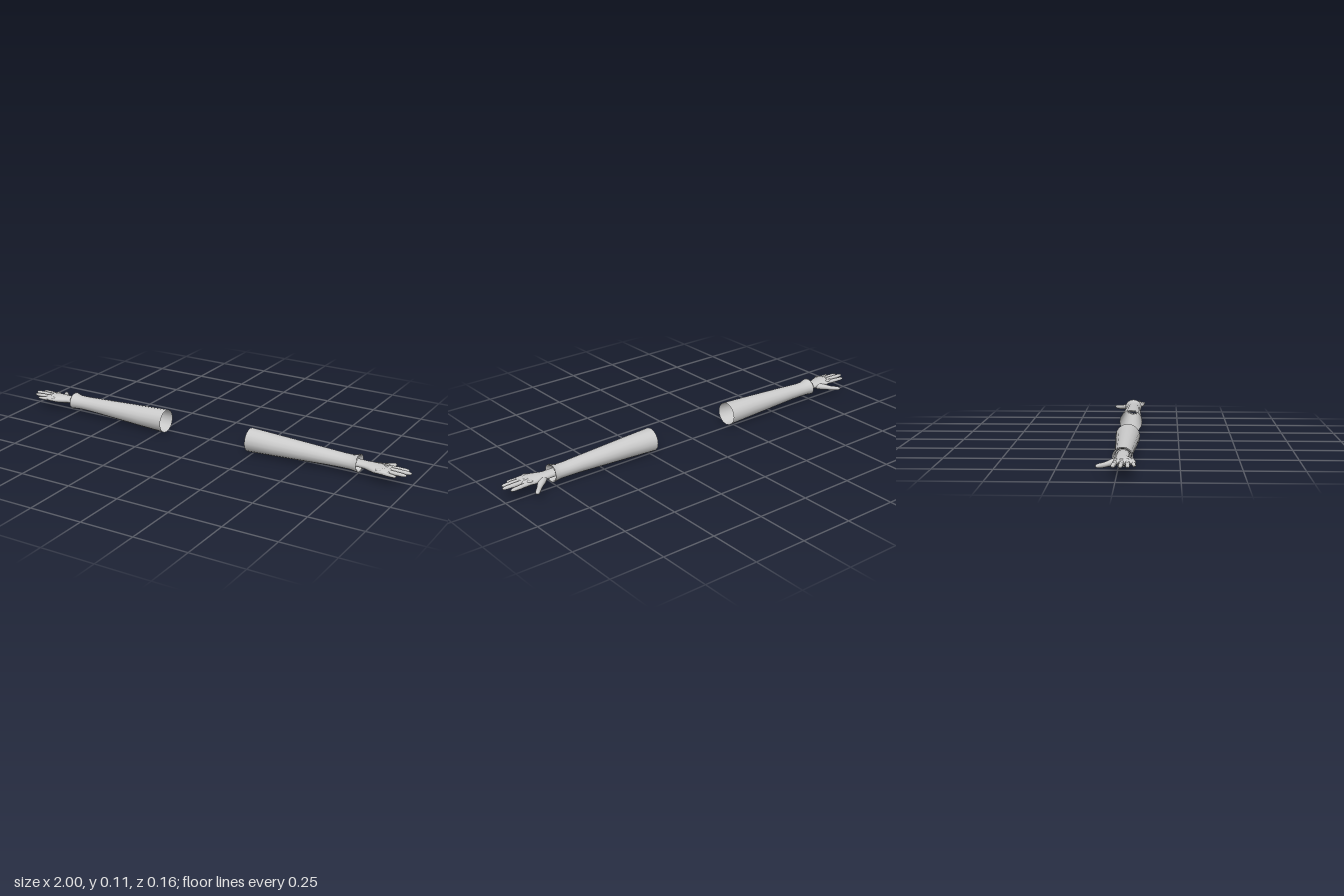
import * as THREE from 'three';

const grey = new THREE.MeshStandardMaterial({ color: 0xcccccc });
const cloth = new THREE.MeshStandardMaterial({ color: 0xcccccc, side: THREE.DoubleSide });

// Skin elliptical rings [x, y, z, half height, half width] along a path.
// sign = -1 mirrors the part in x.
function loft(name, rings, sign, segments = 12, material = grey) {
  const centres = rings.map(r => new THREE.Vector3(r[0], r[1], r[2]));
  const pos = [], index = [];
  rings.forEach((r, i) => {
    const dir = centres[Math.min(i + 1, rings.length - 1)].clone()
      .sub(centres[Math.max(i - 1, 0)]).normalize();
    const across = dir.clone().cross(new THREE.Vector3(0, 1, 0)).normalize();
    const up = across.clone().cross(dir);
    for (let j = 0; j < segments; j++) {
      const a = (j / segments) * Math.PI * 2;
      const p = centres[i].clone()
        .addScaledVector(up, r[3] * Math.sin(a))
        .addScaledVector(across, r[4] * Math.cos(a));
      pos.push(p.x * sign, p.y, p.z);
      if (i === rings.length - 1) continue;
      const k = (j + 1) % segments;
      const A = i * segments + j, B = A + segments;
      const C = i * segments + k, D = C + segments;
      if (sign > 0) index.push(A, B, C, C, B, D);
      else index.push(A, C, B, C, D, B);
    }
  });
  const g = new THREE.BufferGeometry();
  g.setAttribute('position', new THREE.Float32BufferAttribute(pos, 3));
  g.setIndex(index);
  g.computeVertexNormals();
  const mesh = new THREE.Mesh(g, material);
  mesh.name = name;
  return mesh;
}

// Finger rings: slight swelling at the joints and a rounded tip
const fingerProfile = [
  [0, 1], [0.2, 1.0], [0.42, 0.93], [0.52, 0.98], [0.62, 0.88],
  [0.78, 0.85], [0.9, 0.72], [0.97, 0.45], [1, 0.02],
];
function finger(name, base, tip, radius, sign) {
  const rings = fingerProfile.map(([t, k]) => [
    ...base.map((b, i) => b + (tip[i] - b) * t), radius * k, radius * k * 1.05,
  ]);
  return loft(name, rings, sign, 10);
}

function createArm(sign) {
  const arm = new THREE.Group();
  arm.name = sign > 0 ? 'leftArm' : 'rightArm';

  // Open sleeve, widest at the shoulder, with a flared cuff
  arm.add(loft('sleeve', [
    [0.225, 0.055, 0.023, 0.055, 0.055],
    [0.36, 0.055, 0.023, 0.049, 0.049],
    [0.5, 0.055, 0.022, 0.042, 0.043],
    [0.62, 0.055, 0.021, 0.036, 0.038],
    [0.69, 0.054, 0.02, 0.033, 0.036],
    [0.73, 0.054, 0.02, 0.033, 0.037],
    [0.75, 0.055, 0.02, 0.037, 0.041],
    [0.762, 0.056, 0.02, 0.04, 0.043],
  ], sign, 16, cloth));

  // Cuff edge folded back inside the sleeve
  arm.add(loft('cuffLining', [
    [0.762, 0.056, 0.02, 0.04, 0.043],
    [0.76, 0.056, 0.02, 0.034, 0.037],
    [0.735, 0.055, 0.02, 0.029, 0.033],
    [0.69, 0.054, 0.02, 0.028, 0.031],
  ], sign, 16, cloth));

  // Wrist widening into the palm
  arm.add(loft('wristAndPalm', [
    [0.69, 0.057, 0.02, 0.001, 0.001],
    [0.691, 0.057, 0.02, 0.017, 0.027],
    [0.765, 0.057, 0.02, 0.016, 0.027],
    [0.795, 0.056, 0.02, 0.016, 0.028],
    [0.82, 0.055, 0.023, 0.018, 0.034],
    [0.85, 0.055, 0.028, 0.018, 0.042],
    [0.88, 0.057, 0.031, 0.015, 0.046],
    [0.9, 0.058, 0.031, 0.011, 0.044],
    [0.912, 0.058, 0.031, 0.005, 0.036],
    [0.914, 0.058, 0.031, 0.001, 0.001],
  ], sign, 18));

  // Four fingers, slightly fanned, each with a knuckle
  [
    ['indexFinger', [0.88, 0.057, -0.003], [0.978, 0.056, -0.012], 0.0098],
    ['middleFinger', [0.885, 0.059, 0.021], [1.0, 0.059, 0.019], 0.0102],
    ['ringFinger', [0.88, 0.058, 0.044], [0.987, 0.057, 0.047], 0.0096],
    ['littleFinger', [0.867, 0.055, 0.063], [0.95, 0.054, 0.072], 0.0085],
  ].forEach(([name, base, tip, radius]) => {
    arm.add(finger(name, base, tip, radius, sign));
    const knuckle = new THREE.Mesh(new THREE.SphereGeometry(1, 10, 8), grey);
    knuckle.name = name + 'Knuckle';
    knuckle.scale.set(0.015, 0.008, 0.0085);
    knuckle.position.set(sign * base[0], base[1] + 0.007, base[2]);
    arm.add(knuckle);
  });

  // Thumb with its fleshy mound, spread backwards and drooping
  arm.add(loft('thumb', [
    [0.797, 0.053, 0.012, 0.003, 0.004],
    [0.805, 0.052, 0.006, 0.013, 0.015],
    [0.825, 0.049, -0.009, 0.0145, 0.017],
    [0.844, 0.046, -0.026, 0.0125, 0.0135],
    [0.86, 0.043, -0.043, 0.0105, 0.011],
    [0.872, 0.042, -0.056, 0.0105, 0.0108],
    [0.884, 0.042, -0.069, 0.0095, 0.0098],
    [0.891, 0.042, -0.077, 0.006, 0.0068],
    [0.894, 0.042, -0.081, 0.0003, 0.0003],
  ], sign, 12));
  return arm;
}

export function createModel() {
  const model = new THREE.Group();
  model.name = 'sleevedArms';
  model.add(createArm(1), createArm(-1));
  return model;
}
